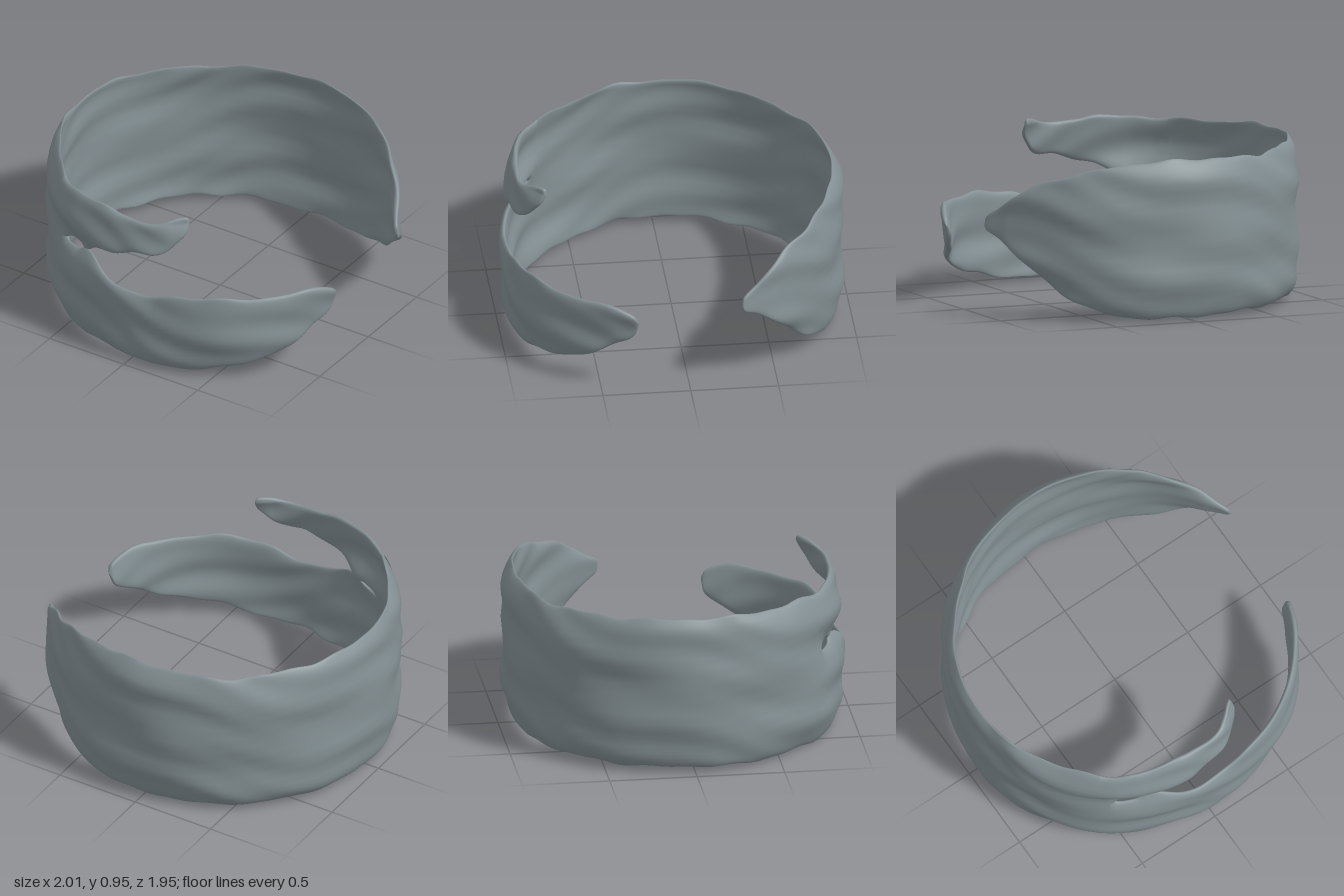
import * as THREE from 'three';

const HALF_THICK = 0.023;
const SIDE = 24; // points across each face of the band

// Hammered waves, a barrel-like inset towards both rims and a dimple at the eyelet
const wave = (a, y) =>
  0.007 * Math.sin(21 * y + 3 * a) + 0.005 * Math.sin(12 * y - 5 * a + 1) +
  0.004 * Math.sin(9 * a + 7 * y) + 0.004 * Math.sin(34 * y + 8 * a + 2 * Math.sin(5 * a));
const inset = (y) => 0.04 * Math.pow(Math.min(1, Math.abs(y - 0.47) / 0.45), 5);
const dimple = (a, y) => 0.035 * Math.exp(-Math.pow((a + 0.44) / 0.2, 2) - Math.pow((y - 0.59) / 0.07, 2));
const ripple = (a) => 0.006 * Math.sin(13 * a) + 0.004 * Math.sin(23 * a + 1);

// Curved ribbon lofted through rows of [angle, lower edge, upper edge, outer radius]
function ribbon(name, rows, steps, material) {
  const edge = new THREE.CatmullRomCurve3(
    rows.map((r) => new THREE.Vector3(r[0], r[1], r[2])), false, 'catmullrom', 0.5);
  const radius = new THREE.CatmullRomCurve3(
    rows.map((r) => new THREE.Vector3(r[3], 0, 0)), false, 'catmullrom', 0.5);
  const pos = [], index = [], loop = SIDE * 2;
  for (let i = 0; i <= steps; i++) {
    const e = edge.getPoint(i / steps), R = radius.getPoint(i / steps).x;
    const a = THREE.MathUtils.degToRad(e.x);
    const height = Math.max(0, e.z - e.y);
    const thin = Math.min(1, Math.pow(height / 0.25, 0.6));
    for (let j = 0; j < loop; j++) {
      const outer = j <= SIDE;
      const k = outer ? j : loop - j;
      const s = -Math.cos((Math.PI * k) / SIDE); // -1 lower edge, +1 upper edge
      const y = e.y + (height * (s + 1)) / 2 + ripple(a) * s * s * thin;
      const t = HALF_THICK * thin * Math.sqrt(Math.max(0, 1 - Math.pow(s, 6)));
      const r = R - HALF_THICK - 0.006 - inset(y) - dimple(a, y) + wave(a, y) + (outer ? t : -t);
      pos.push(Math.sin(a) * r, Math.max(0, y), Math.cos(a) * r);
    }
  }
  for (let i = 0; i < steps; i++) {
    for (let j = 0; j < loop; j++) {
      const n = (j + 1) % loop;
      const p = i * loop + j, q = p + loop, u = i * loop + n, v = u + loop;
      index.push(p, q, v, p, v, u);
    }
  }
  const geo = new THREE.BufferGeometry();
  geo.setAttribute('position', new THREE.Float32BufferAttribute(pos, 3));
  geo.setIndex(index);
  geo.computeVertexNormals();
  const mesh = new THREE.Mesh(geo, material);
  mesh.name = name;
  return mesh;
}

export function createModel() {
  const metal = new THREE.MeshStandardMaterial({ color: 0x849094, side: THREE.DoubleSide });
  metal.name = 'greyMetal';
  const group = new THREE.Group();
  group.name = 'cuffBracelet';

  // Wide band: tapered back tip, round the back to the split at the front
  group.add(ribbon('mainBand', [
    [-253.7, 0.54, 0.54, 1.075],
    [-252.7, 0.5, 0.59, 1.07],
    [-248, 0.45, 0.635, 1.05],
    [-241, 0.36, 0.72, 1.03],
    [-232, 0.24, 0.8, 1.015],
    [-220, 0.105, 0.85, 1.005],
    [-206, 0.04, 0.9, 0.992],
    [-190, 0.02, 0.92, 0.978],
    [-170, 0.025, 0.92, 0.973],
    [-150, 0.035, 0.905, 0.973],
    [-130, 0.04, 0.915, 0.977],
    [-110, 0.04, 0.93, 0.987],
    [-90, 0.045, 0.935, 0.997],
    [-72, 0.03, 0.93, 0.992],
    [-58, 0.025, 0.915, 0.983],
    [-46, 0.015, 0.915, 0.983],
    [-36, 0.015, 0.915, 0.983],
  ], 170, metal));

  // Lower branch: broad leaf sweeping to the front tip, overlapping the main band
  group.add(ribbon('lowerBranch', [
    [-40, 0.015, 0.6, 0.983],
    [-36, 0.015, 0.585, 0.983],
    [-33, 0.012, 0.55, 0.983],
    [-27, 0.01, 0.545, 0.98],
    [-23, 0.01, 0.58, 0.977],
    [-18, 0.015, 0.57, 0.973],
    [-9, 0.02, 0.51, 0.97],
    [5, 0.02, 0.46, 0.98],
    [18, 0.03, 0.52, 1.0],
    [32, 0.068, 0.54, 1.028],
    [46, 0.13, 0.54, 1.043],
    [57, 0.2, 0.545, 1.042],
    [66, 0.29, 0.53, 1.035],
    [71.5, 0.36, 0.5, 1.035],
    [73.2, 0.44, 0.45, 1.037],
  ], 120, metal));

  // Upper branch: narrow curl bending inwards, touching the lower one past the small eyelet
  group.add(ribbon('upperBranch', [
    [-40, 0.53, 0.915, 0.983],
    [-36, 0.545, 0.915, 0.983],
    [-33, 0.58, 0.915, 0.982],
    [-27, 0.585, 0.92, 0.977],
    [-23, 0.565, 0.922, 0.971],
    [-18, 0.615, 0.925, 0.964],
    [-12, 0.66, 0.93, 0.957],
    [-5, 0.69, 0.92, 0.951],
    [2, 0.715, 0.9, 0.943],
    [8, 0.72, 0.91, 0.928],
    [13, 0.75, 0.935, 0.908],
    [17, 0.81, 0.95, 0.883],
    [19.7, 0.86, 0.95, 0.87],
    [20.6, 0.91, 0.915, 0.866],
  ], 90, metal));

  return group;
}
